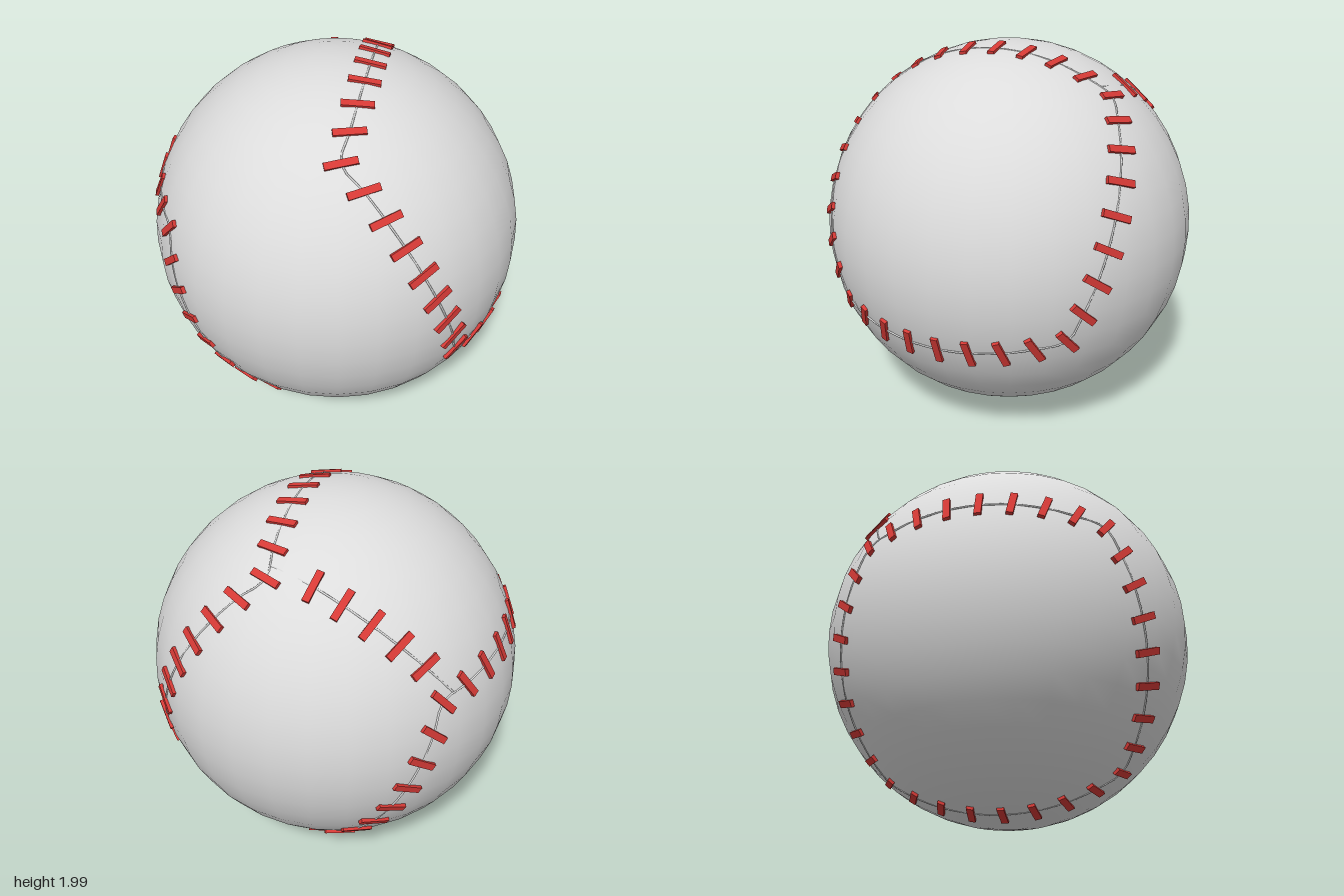
import * as THREE from 'three';

const RADIUS = 0.988;
const SEAT = 0.985; // radius at which stitches are centred
const V = (x, y, z) => new THREE.Vector3(x, y, z);

// Great-circle interpolation between two directions
function arc(a, b, t) {
  const u = a.clone().normalize(), v = b.clone().normalize();
  const w = u.angleTo(v);
  return u.multiplyScalar(Math.sin((1 - t) * w)).addScaledVector(v, Math.sin(t * w)).normalize();
}

export function createModel() {
  const leather = new THREE.MeshStandardMaterial({ color: 0xdcdcdc });
  leather.name = 'leather grey';
  const thread = new THREE.MeshStandardMaterial({ color: 0xd63a36 });
  thread.name = 'thread red';

  const stitchGeo = new THREE.BoxGeometry(0.16, 0.026, 0.036);

  // One bar lying on the ball at direction n, its length along side
  function addStitch(parent, n, side) {
    const x = side.clone().addScaledVector(n, -side.dot(n)).normalize();
    const z = x.clone().cross(n);
    const m = new THREE.Mesh(stitchGeo, thread);
    m.name = 'stitch';
    m.quaternion.setFromRotationMatrix(new THREE.Matrix4().makeBasis(x, n, z));
    m.position.copy(n).multiplyScalar(SEAT);
    parent.add(m);
  }

  // Thin raised seam line under the stitches
  function addSeam(parent, points, closed) {
    const path = new THREE.CatmullRomCurve3(points.map(p => p.clone().multiplyScalar(SEAT)), closed);
    const m = new THREE.Mesh(new THREE.TubeGeometry(path, points.length * 3, 0.005, 6, closed), leather);
    m.name = 'seam';
    parent.add(m);
  }

  // Closed four-cornered seam; bars turn smoothly from each edge's normal to the corner bisector
  function seamLoop(name) {
    const g = new THREE.Group();
    g.name = name;
    const c = [V(0.135, 0.78, 0.6), V(0.74, -0.28, 0.6), V(0.74, -0.28, -0.6), V(0.135, 0.78, -0.6)];
    const edgeNormal = c.map((p, i) => p.clone().cross(c[(i + 1) % 4]).normalize());
    const points = [];
    for (let e = 0; e < 4; e++) {
      for (let i = 0; i < 8; i++) {
        const t = i / 8;
        const n = arc(c[e], c[(e + 1) % 4], t);
        const near = edgeNormal[(e + (t < 0.5 ? 3 : 1)) % 4];
        const side = edgeNormal[e].clone();
        const corner = side.clone().add(near).normalize();
        side.lerp(corner, Math.abs(2 * t - 1));
        addStitch(g, n, side);
        points.push(n);
      }
    }
    addSeam(g, points, true);
    return g;
  }

  const ball = new THREE.Group();
  ball.name = 'ball';
  ball.position.y = 1;

  const cover = new THREE.Mesh(new THREE.SphereGeometry(RADIUS, 32, 24), leather);
  cover.name = 'cover';
  ball.add(cover);

  // Two matching loops, half a turn apart
  const loopA = seamLoop('upperSeamLoop');
  const loopB = seamLoop('lowerSeamLoop');
  loopB.rotation.z = Math.PI;
  ball.add(loopA, loopB);

  // Short stitched bridge joining the loops at the back
  const bridge = new THREE.Group();
  bridge.name = 'backSeamBridge';
  const start = V(-0.1, 0.78, -0.6), end = V(-0.64, 0.46, -0.6);
  const sideA = V(-0.12, 0.37, 0.453), sideB = V(-0.32, 0.25, 0.453);
  const line = [V(0.13, 0.82, -0.545).normalize()];
  for (let i = 0; i < 5; i++) {
    const t = i / 4;
    const n = arc(start, end, t);
    addStitch(bridge, n, sideA.clone().lerp(sideB, t));
    line.push(n);
  }
  line.push(V(-0.77, 0.31, -0.545).normalize());
  addSeam(bridge, line, false);
  ball.add(bridge);

  const model = new THREE.Group();
  model.name = 'stitchedBall';
  model.add(ball);
  return model;
}
